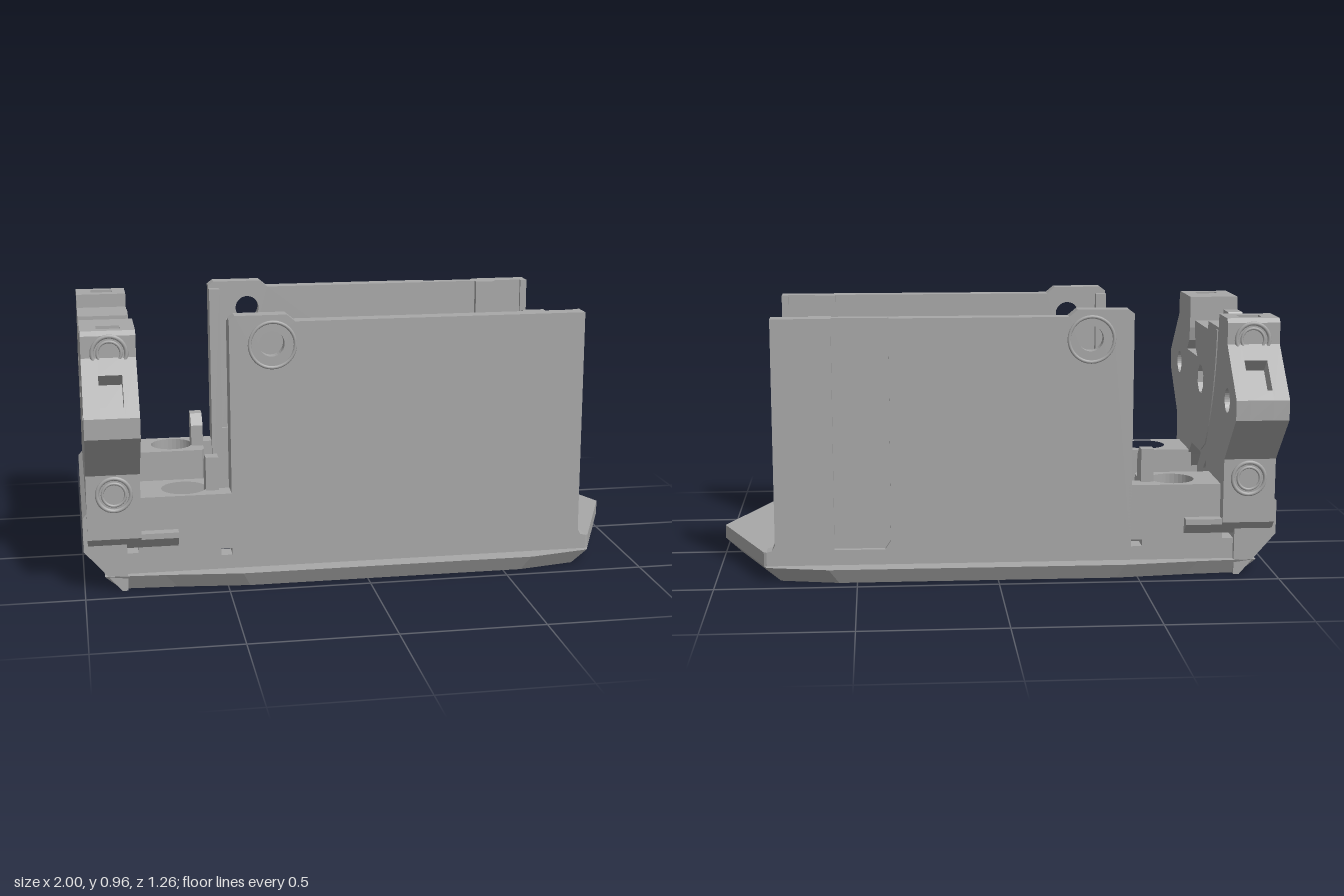
import * as THREE from 'three';

const grey = new THREE.MeshStandardMaterial({ color: 0xa8a8a8 });
grey.name = 'matte grey';

export function createModel() {
  const model = new THREE.Group();
  const add = (name, geo) => {
    const m = new THREE.Mesh(geo, grey);
    m.name = name;
    model.add(m);
    return m;
  };
  const box = (name, x0, x1, y0, y1, z0, z1) =>
    add(name, new THREE.BoxGeometry(x1 - x0, y1 - y0, Math.abs(z1 - z0))
      .translate((x0 + x1) / 2, (y0 + y1) / 2, (z0 + z1) / 2));
  const circle = (a, b, r, n = 32) => Array.from({ length: n }, (_, i) => {
    const t = (i + 0.5) / n * Math.PI * 2;
    return [a + r * Math.cos(t), b + r * Math.sin(t)];
  });
  const extrude = (pts, holes, depth) => {
    const vec = list => list.map(p => new THREE.Vector2(p[0], p[1]));
    const s = new THREE.Shape(vec(pts));
    holes.forEach(h => s.holes.push(new THREE.Path(vec(h))));
    return new THREE.ExtrudeGeometry(s, { depth, bevelEnabled: false });
  };
  const flip = list => list.map(([a, b]) => [-a, b]);
  // side view outline [x, y] pushed along z
  const alongZ = (name, pts, holes, z0, z1) =>
    add(name, extrude(pts, holes, Math.abs(z1 - z0)).translate(0, 0, Math.min(z0, z1)));
  // end view outline [z, y] pushed along x
  const alongX = (name, pts, holes, x0, x1) =>
    add(name, extrude(flip(pts), holes.map(flip), x1 - x0).rotateY(Math.PI / 2).translate(x0, 0, 0));
  // plan outline [x, z] pushed along y
  const neg = list => list.map(([a, b]) => [a, -b]);
  const alongY = (name, pts, holes, y0, y1) =>
    add(name, extrude(neg(pts), holes.map(neg), y1 - y0).rotateX(-Math.PI / 2).translate(0, y0, 0));
  const mirrored = half => [...half, ...half.filter(p => p[1] > 0).reverse().map(([x, z]) => [x, -z])];

  // Openings in the floor
  const screwHoles = [circle(-0.64, 0.31, 0.045), circle(-0.64, -0.31, 0.045)];
  const forkSlot = [[-0.79, 0.055], [-0.7, 0.055], [-0.66, 0.02], [-0.59, 0.02], [-0.59, -0.02],
    [-0.66, -0.02], [-0.7, -0.055], [-0.79, -0.055], [-0.79, -0.03], [-0.7, -0.03], [-0.68, -0.01],
    [-0.68, 0.01], [-0.7, 0.03], [-0.79, 0.03]];
  const window_ = [[-0.52, 0.34], [0.28, 0.34], [0.42, 0], [0.28, -0.34], [-0.52, -0.34]];

  // Floor slab: chamfered underside, front of the opening slopes forward as a ramp
  const slab = (name, outline, y0, y1, lowScale) => {
    const mesh = alongY(name, mirrored(outline), [window_, forkSlot, ...screwHoles], y0, y1);
    const p = mesh.geometry.attributes.position;
    for (let i = 0; i < p.count; i++) {
      const x = p.getX(i), y = p.getY(i), z = p.getZ(i);
      const inner = Math.abs(z) < 0.361 && x > -0.8 && x < 0.43;
      if (inner && x > 0.2) p.setX(i, x + y / 0.105 * 0.3);
      else if (!inner && y < y0 + 0.001) {
        p.setX(i, x * lowScale);
        p.setZ(i, z * lowScale);
      }
    }
    mesh.geometry.computeVertexNormals();
  };
  slab('baseSkirt', [[-0.93, 0.43], [-0.72, 0.445], [-0.45, 0.475], [0.6, 0.475], [0.82, 0.43], [1, 0]], 0, 0.055, 0.94);
  slab('baseDeck', [[-0.93, 0.41], [0.82, 0.41], [0.83, 0.405], [1, 0]], 0.055, 0.105, 1);
  alongY('rearFloor', mirrored([[-0.86, 0.41], [-0.52, 0.41]]), [forkSlot, ...screwHoles], 0.105, 0.13);

  // Both long sides
  for (const s of [1, -1]) {
    const top = [[-0.25, 0.935], [-0.28, 0.96], [-0.46, 0.96], [-0.48, 0.945], [-0.48, 0.06]];
    const foot = [[0.82, 0.06], [0.82, 0.105], [0.80, 0.11], [0.79, 0.13], [0.79, 0.935]];
    const relief = s < 0 ? [[0.58, 0.935], [0.58, 0.11], [0.4, 0.11], [0.38, 0.14], [0.38, 0.935]] : [];
    alongZ('sideWall', [...foot, ...top], [circle(-0.33, 0.855, 0.045)], s * 0.35, s * 0.39);
    alongZ('sideWallSkin', [...foot, ...relief, ...top], [circle(-0.33, 0.855, 0.08)], s * 0.39, s * 0.41);
    box('wallLowerLiner', -0.48, 0.6, 0.06, 0.38, s * 0.335, s * 0.355);
    alongX('endRail', [[s * 0.36, 0.38], [s * 0.325, 0.43], [s * 0.325, 0.935], [s * 0.36, 0.935]], [], 0.58, 0.66);
    box('endLip', 0.765, 0.79, 0.1, 0.935, s * 0.338, s * 0.36);
    alongX('rearRail', [[s * 0.36, 0.06], [s * 0.315, 0.06], [s * 0.315, 0.935], [s * 0.36, 0.935]], [], -0.48, -0.44);
    add('screwCollar', new THREE.TorusGeometry(0.08, 0.006, 8, 32).translate(-0.33, 0.855, s * 0.41));

    // Rear shelf with counterbored screw hole and a small post
    const shelf = [[-0.81, s * 0.2], [-0.53, s * 0.2], [-0.52, s * 0.22], [-0.52, s * 0.335],
      [-0.47, s * 0.335], [-0.47, s * 0.41], [-0.81, s * 0.41]];
    alongY('shelfLower', shelf, [circle(-0.64, s * 0.31, 0.045)], 0.13, 0.26);
    alongY('shelfUpper', shelf, [circle(-0.64, s * 0.31, 0.08)], 0.26, 0.33);
    alongX('post', [[s * 0.27, 0.3], [s * 0.27, 0.41], [s * 0.31, 0.45], [s * 0.36, 0.45], [s * 0.36, 0.3]], [], -0.565, -0.52);

    // Wedge lip along the rear flank
    alongX('flankLip', [[s * 0.4, 0.21], [s * 0.45, 0.21], [s * 0.45, 0.19], [s * 0.41, 0.15], [s * 0.4, 0.15]], [], -0.97, -0.67);

    // Screw sockets on the end plate flanks
    for (const y of [0.855, 0.36]) {
      add('socketRim', new THREE.TorusGeometry(0.058, 0.007, 8, 32).translate(-0.89, y, s * 0.46));
      add('socketRing', new THREE.TorusGeometry(0.04, 0.005, 8, 32).translate(-0.89, y, s * 0.46));
    }
  }

  // Lower block under the end plate
  alongZ('endBlock', [[-0.87, 0], [-1, 0.15], [-1, 0.27], [-0.975, 0.3], [-0.975, 0.33], [-0.85, 0.33], [-0.85, 0]],
    [], -0.43, 0.43);

  // Winged end plate, in layers so slots, pocket and cavity are real recesses
  const wing = (s, slots) => [
    ...(slots ? [[0.355, 0.93], [0.355, 0.88], [0.41, 0.88], [0.41, 0.93]] : []),
    [0.445, 0.93], [0.46, 0.915], [0.46, 0.84],
    ...(slots ? [[0.51, 0.79], [0.468, 0.748], [0.558, 0.658], [0.6, 0.7]] : []),
    [0.63, 0.67], [0.63, 0.6], [0.46, 0.43], [0.46, 0.2], [0.41, 0.15],
  ].map(([z, y]) => [s * z, y]);
  const endPlate = (name, x0, x1, { slots, pocket, cavity }) => {
    const middle = pocket
      ? [[-0.12, 0.85], [0.13, 0.85], [0.125, 0.8], [0.11, 0.75], [0.07, 0.72], [0.28, 0.72], [0.24, 0.76], [0.23, 0.81]]
      : [[-0.12, 0.85], [0.12, 0.85], [0.14, 0.88], [0.23, 0.88]];
    const bottom = cavity
      ? [[0.27, 0.15], [0.27, 0.25], [0.21, 0.31], [0.14, 0.37], [-0.03, 0.37], [-0.09, 0.32], [-0.14, 0.36], [-0.14, 0.3], [-0.24, 0.17], [-0.24, 0.15]]
      : [];
    alongX(name, [[-0.31, 0.93], [-0.31, 0.88], [-0.12, 0.88], ...middle, [0.23, 0.93],
      ...wing(1, slots), ...bottom, ...wing(-1, slots).reverse()],
    [circle(0, 0.645, 0.056, 8), circle(0.435, 0.645, 0.043), circle(-0.48, 0.645, 0.043)], x0, x1);
  };
  endPlate('endPlateOuter', -0.985, -0.93, {});
  endPlate('endPlateCore', -0.93, -0.85, { slots: true, pocket: true });
  endPlate('endPlateInner', -0.85, -0.8, { pocket: true, cavity: true });
  add('topSocketRim', new THREE.TorusGeometry(0.04, 0.006, 8, 32).rotateX(Math.PI / 2).translate(-0.89, 0.85, 0));

  // Thin curved strip on the inner face of the end plate
  const arc = (a, b, c) => new THREE.QuadraticBezierCurve(
    new THREE.Vector2(...a), new THREE.Vector2(...b), new THREE.Vector2(...c)).getPoints(16).map(p => [p.x, p.y]);
  alongX('curvedStrip', [...arc([-0.27, 0.87], [-0.26, 0.6], [-0.05, 0.38]),
    ...arc([-0.13, 0.42], [-0.28, 0.62], [-0.3, 0.87])], [], -0.8, -0.796);

  return model;
}
